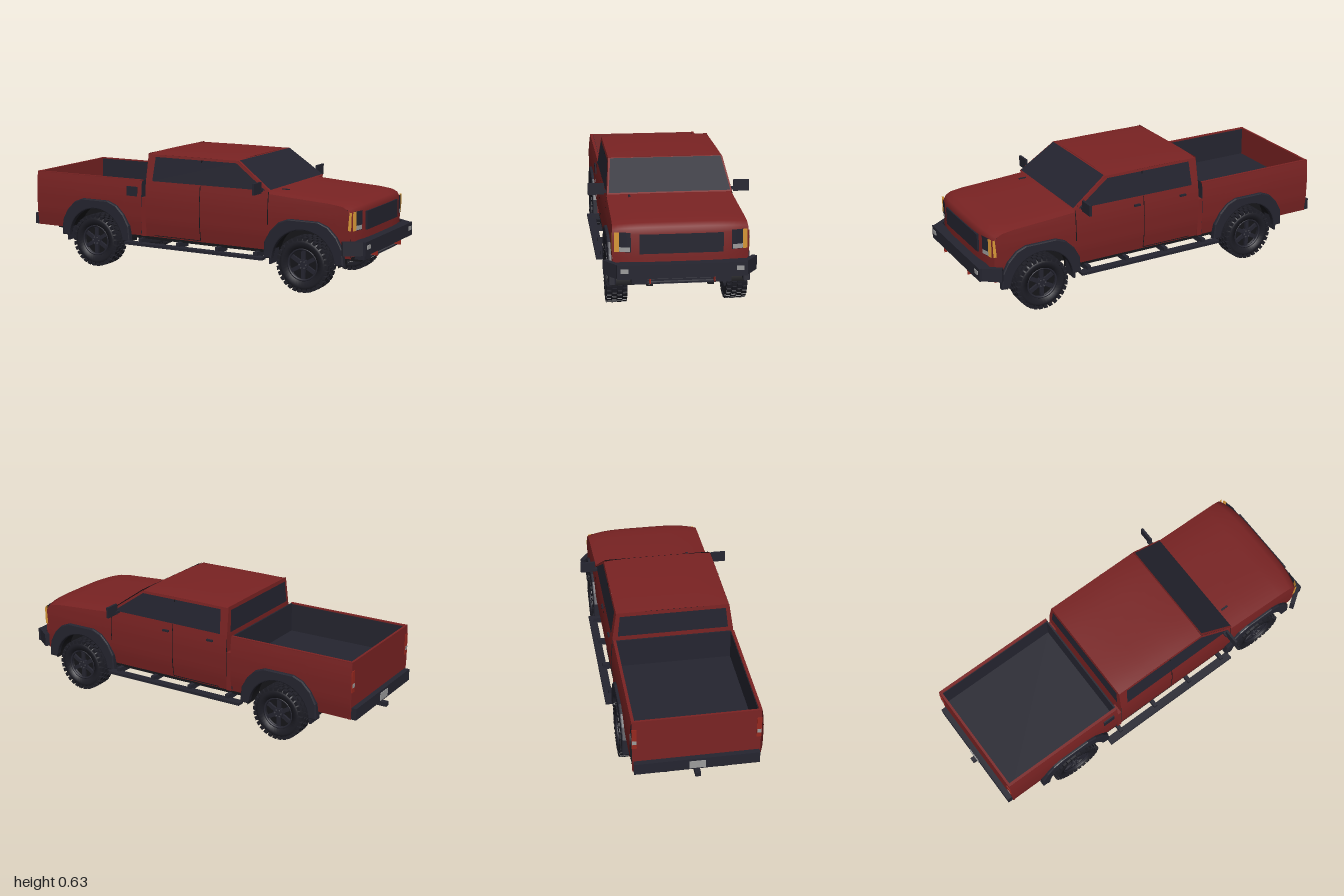
import * as THREE from 'three';
import { mergeGeometries } from 'three/addons/utils/BufferGeometryUtils.js';

const mat = (name, color) => {
  const m = new THREE.MeshStandardMaterial({ color, side: THREE.DoubleSide });
  m.name = name;
  return m;
};

export function createModel() {
  const red = mat('red paint', 0x7a2323), dark = mat('dark plastic', 0x252530), glass = mat('dark glass', 0x242430);
  const rubber = mat('rubber', 0x1e1e26), black = mat('underside black', 0x16161a), grey = mat('light grey', 0x9c9c9c);
  const amber = mat('amber lens', 0xdb9a38), lampRed = mat('lamp red', 0x98281f), steel = mat('dark steel', 0x44444c);
  const truck = new THREE.Group();
  truck.name = 'pickupTruck';

  const add = (name, geo, m, parent = truck) => {
    const mesh = new THREE.Mesh(geo, m);
    mesh.name = name;
    parent.add(mesh);
    return mesh;
  };
  // Box given by its limits on each axis
  const box = (name, m, [x0, x1], [y0, y1], [z0, z1], parent) => {
    const g = new THREE.BoxGeometry(x1 - x0, y1 - y0, Math.abs(z1 - z0));
    return add(name, g.translate((x0 + x1) / 2, (y0 + y1) / 2, (z0 + z1) / 2), m, parent);
  };
  // Surface from a rule (u, v) -> [x, y, z]
  const sheet = (name, m, nu, nv, rule) => {
    const g = new THREE.PlaneGeometry(1, 1, nu, nv), p = g.attributes.position;
    for (let i = 0; i < p.count; i++) p.setXYZ(i, ...rule(p.getX(i) + 0.5, p.getY(i) + 0.5));
    g.computeVertexNormals();
    return add(name, g, m);
  };
  const mix = THREE.MathUtils.lerp;
  // Four-cornered panel: bottom a-b, top d-c
  const quad = (name, m, a, b, c, d) => sheet(name, m, 1, 1, (u, v) =>
    a.map((_, i) => mix(mix(a[i], b[i], u), mix(d[i], c[i], u), v)));
  const rod = (name, m, a, b, r) => add(name, new THREE.TubeGeometry(
    new THREE.LineCurve3(new THREE.Vector3(...a), new THREE.Vector3(...b)), 1, r, 8), m);
  const interp = (pts, x) => {
    for (let i = 1; i < pts.length; i++) {
      const [a, b] = [pts[i - 1], pts[i]];
      if (x <= b[0]) return mix(a[1], b[1], Math.max(0, (x - a[0]) / (b[0] - a[0])));
    }
    return pts[pts.length - 1][1];
  };

  const axles = [-0.56, 0.665], wheelY = 0.14;
  const sides = [1, -1];
  // Half width of the body by height, and its lower edge with wheel arches
  const halfWidth = y => interp([[0.19, 0.308], [0.27, 0.32], [0.38, 0.322], [0.44, 0.318], [0.49, 0.311]], y);
  const lower = x => Math.max(0.19, ...axles.map(a => wheelY + Math.sqrt(Math.max(0, 0.185 ** 2 - (x - a) ** 2))));

  // Hood and nose: one profile swept across, rounded off at the corners
  const profile = [[0.44, 0.488], [0.6, 0.477], [0.8, 0.465], [0.89, 0.456], [0.925, 0.442], [0.94, 0.415], [0.941, 0.3], [0.942, 0.2]];
  const nose = ([x, y], s) => [
    x - 0.03 * s ** 4 * THREE.MathUtils.smoothstep(x, 0.8, 0.93), y - (y > 0.4 ? 0.013 * s ** 4 : 0)];
  sheet('hoodAndNose', red, 24, profile.length - 1, (u, v) => {
    const s = u * 2 - 1, [x, y] = nose(profile[Math.round(v * (profile.length - 1))], s);
    return [x, y, s * halfWidth(y)];
  });
  const hoodEdge = profile.slice(0, 6).map(p => nose(p, 1));

  for (const s of sides) {
    const panel = (name, x0, x1, top) => sheet(name, red, 70, 10, (u, v) => {
      const x = mix(x0, x1, u), y = mix(lower(x), top(x), v);
      return [x, y, s * halfWidth(y)];
    });
    panel('bedSide', -0.95, -0.275, () => 0.485);
    panel('cabSide', -0.25, 0.47, () => 0.487);
    panel('frontFender', 0.47, 0.911, x => interp(hoodEdge, x));
    box('bedRail', red, [-0.95, -0.275], [0.478, 0.486], [s * 0.297, s * 0.312]);
    box('bedLinerSide', dark, [-0.938, -0.28], [0.31, 0.48], [s * 0.294, s * 0.3]);
    box('gapFiller', red, [-0.277, -0.248], [0.19, 0.395], [s * 0.26, s * 0.315]);
    // Door seams
    for (const x of [0.075, 0.465]) sheet('doorSeam', black, 1, 8, (u, v) => {
      const y = mix(x < 0.1 ? 0.2 : 0.32, 0.482, v);
      return [x + u * 0.004, y, s * (halfWidth(y) + 0.001)];
    });
    box('sillSeam', black, [-0.2, 0.075], [0.196, 0.199], [s * 0.306, s * 0.3115]);
    // Cab upper side with its window
    quad('cabUpperSide', red, [-0.25, 0.485, s * 0.312], [0.475, 0.485, s * 0.312], [0.28, 0.622, s * 0.29], [-0.245, 0.622, s * 0.29]);
    const wz = y => s * (0.3145 - (y - 0.485) * 0.16);
    quad('sideWindow', glass, [-0.21, 0.485, wz(0.485)], [0.45, 0.488, wz(0.488)], [0.275, 0.61, wz(0.61)], [-0.2, 0.61, wz(0.61)]);
    box('windowDivider', black, [0.073, 0.079], [0.487, 0.61], [s * 0.292, s * 0.2965]);
    // Mirror
    box('mirrorArm', dark, [0.415, 0.435], [0.482, 0.495], [s * 0.3, s * 0.34]);
    box('mirror', dark, [0.422, 0.434], [0.475, 0.532], [s * 0.324, s * 0.404]);
    // Running board
    box('runningBoard', dark, [-0.355, 0.46], [0.146, 0.16], [s * 0.325, s * 0.368]);
    for (const x of [-0.28, -0.05, 0.18, 0.4]) box('boardBracket', dark, [x, x + 0.02], [0.15, 0.18], [s * 0.25, s * 0.345]);
    // Headlight pieces follow the curve of the nose
    const lens = (name, m, z0, z1, y0, y1, out) => sheet(name, m, 5, 1, (u, v) => {
      const z = mix(z0, z1, u);
      return [0.942 + out - 0.03 * (z / 0.32) ** 4, mix(y0, y1, v), s * z];
    });
    lens('headlight', glass, 0.236, 0.292, 0.328, 0.422, 0.003);
    lens('headlightReflector', grey, 0.24, 0.292, 0.33, 0.352, 0.005);
    lens('turnSignal', amber, 0.289, 0.312, 0.328, 0.422, 0.006);
    quad('sideSignal', amber, [0.899, 0.33, s * 0.323], [0.916, 0.33, s * 0.3225], [0.918, 0.42, s * 0.3215], [0.906, 0.42, s * 0.322]);
    // Front bumper ends, lamps and hooks
    const end = box('bumperEnd', dark, [-0.05, 0.05], [0.212, 0.28], [-0.012, 0.012]);
    end.position.set(0.925, 0, s * 0.325);
    end.rotation.y = s * 0.62;
    box('fogLight', grey, [0.984, 0.99], [0.242, 0.262], [s * 0.252, s * 0.288]);
    box('towHook', lampRed, [0.95, 0.985], [0.188, 0.215], [s * 0.148, s * 0.154]);
    // Tail lamp
    box('tailLamp', lampRed, [-0.954, -0.948], [0.33, 0.44], [s * 0.288, s * 0.312]);
    box('reverseLamp', grey, [-0.956, -0.95], [0.355, 0.375], [s * 0.29, s * 0.31]);
    // Chassis rail and front arms
    box('chassisRail', black, [-0.93, 0.9], [0.148, 0.175], [s * 0.13, s * 0.16]);
    rod('lowerArm', dark, [0.665, 0.15, s * 0.14], [0.665, 0.108, s * 0.25], 0.01);
    rod('upperArm', dark, [0.64, 0.165, s * 0.14], [0.665, 0.14, s * 0.26], 0.008);
    rod('damper', dark, [0.7, 0.12, s * 0.2], [0.7, 0.22, s * 0.19], 0.014);

    for (const a of axles) {
      // Flare with an arched opening
      const f = new THREE.Shape([[-0.21, 0.16], [-0.205, 0.235], [-0.175, 0.29], [-0.13, 0.335], [-0.08, 0.355],
        [0.08, 0.355], [0.13, 0.335], [0.175, 0.29], [0.205, 0.235], [0.212, 0.16]].map(p => new THREE.Vector2(...p)));
      f.lineTo(0.176, 0.16);
      f.absarc(0, wheelY, 0.177, 0.11, Math.PI - 0.11, false);
      const flare = add('fenderFlare', new THREE.ExtrudeGeometry(f, {
        depth: 0.022, bevelSize: 0.006, bevelThickness: 0.006, bevelSegments: 2, curveSegments: 24 }), dark);
      flare.position.set(a, 0, s > 0 ? 0.308 : -0.33);
      // Wheel well and mud flap
      const well = add('wheelWell', new THREE.CylinderGeometry(0.184, 0.184, 0.11, 24, 1, true, Math.PI / 2, Math.PI), black);
      well.rotation.x = Math.PI / 2;
      well.position.set(a, wheelY, s * 0.263);
      box('mudFlap', dark, [a - 0.185, a - 0.175], [0.125, 0.2], [s * 0.24, s * 0.33]);
    }
  }

  // Cab roof, windshield and back
  sheet('roof', red, 16, 6, (u, v) => {
    const z = u * 2 - 1, e = v * 2 - 1;
    return [mix(-0.245, 0.28, v), 0.632 - 0.009 * z ** 4 - 0.004 * e ** 4, z * 0.29];
  });
  quad('windshieldFrame', red, [0.475, 0.485, 0.312], [0.475, 0.485, -0.312], [0.28, 0.625, -0.29], [0.28, 0.625, 0.29]);
  quad('windshield', glass, [0.473, 0.492, 0.303], [0.473, 0.492, -0.303], [0.288, 0.624, -0.281], [0.288, 0.624, 0.281]);
  quad('cabBackUpper', red, [-0.25, 0.485, 0.312], [-0.25, 0.485, -0.312], [-0.245, 0.627, -0.29], [-0.245, 0.627, 0.29]);
  quad('cabBackLower', red, [-0.25, 0.19, 0.308], [-0.25, 0.19, -0.308], [-0.25, 0.486, -0.312], [-0.25, 0.486, 0.312]);
  quad('rearWindow', glass, [-0.254, 0.495, 0.285], [-0.254, 0.495, -0.285], [-0.249, 0.608, -0.272], [-0.249, 0.608, 0.272]);
  box('hoodAerial', dark, [0.49, 0.53], [0.483, 0.487], [0.2, 0.21]);
  for (const x of [-0.17, 0.1]) box('doorHandle', dark, [x, x + 0.035], [0.437, 0.447], [-0.327, -0.317]);
  box('fuelDoor', dark, [-0.365, -0.3], [0.398, 0.448], [0.316, 0.3235]);

  // Load bed
  box('bedFloor', dark, [-0.94, -0.278], [0.31, 0.33], [-0.298, 0.298]);
  box('bedFront', dark, [-0.283, -0.275], [0.2, 0.485], [-0.312, 0.312]);
  box('tailgate', red, [-0.95, -0.938], [0.19, 0.485], [-0.31, 0.31]);

  // Front face and bumpers
  box('grille', glass, [0.935, 0.946], [0.32, 0.412], [-0.196, 0.196]);
  box('frontBumper', dark, [0.93, 0.986], [0.212, 0.28], [-0.305, 0.305]);
  box('lowerValance', dark, [0.9, 0.95], [0.175, 0.215], [-0.235, 0.235]);
  for (const y of [0.185, 0.2]) box('valanceTrim', steel, [0.95, 0.956], [y, y + 0.004], [-0.16, 0.16]);
  quad('skidPlate', grey, [0.83, 0.137, 0.155], [0.83, 0.137, -0.155], [0.955, 0.176, -0.155], [0.955, 0.176, 0.155]);
  box('rearBumper', dark, [-0.977, -0.94], [0.19, 0.25], [-0.305, 0.305]);
  box('rearPlate', grey, [-0.981, -0.976], [0.198, 0.238], [-0.04, 0.04]);
  box('hitch', dark, [-1, -0.92], [0.16, 0.182], [-0.014, 0.014]);

  // Underside
  box('chassisCore', black, [-0.935, 0.9], [0.175, 0.29], [-0.21, 0.21]);
  box('cabFloor', black, [-0.36, 0.46], [0.175, 0.2], [-0.306, 0.306]);
  box('rearFloor', black, [-0.94, -0.76], [0.19, 0.2], [-0.306, 0.306]);
  for (const x of [-0.8, -0.3, 0, 0.3, 0.5]) box('crossMember', black, [x, x + 0.03], [0.155, 0.176], [-0.14, 0.14]);
  rod('rearAxle', dark, [-0.56, wheelY, -0.26], [-0.56, wheelY, 0.26], 0.016);
  const diff = add('differential', new THREE.SphereGeometry(0.04, 14, 10), dark);
  diff.position.set(-0.56, wheelY, 0);
  box('frontSubframe', dark, [0.6, 0.73], [0.135, 0.18], [-0.15, 0.15]);

  // Wheel parts, axis along z with the outer face towards +z
  const tyre = new THREE.LatheGeometry([[0.082, -0.043], [0.11, -0.049], [0.126, -0.044], [0.132, -0.03], [0.132, 0.03],
    [0.126, 0.044], [0.11, 0.049], [0.082, 0.043], [0.078, 0], [0.082, -0.043]].map(p => new THREE.Vector2(...p)), 40).rotateX(Math.PI / 2);
  const lugs = [];
  for (let i = 0; i < 30; i++) for (let j = 0; j < 4; j++) {
    const outer = j === 0 || j === 3;
    lugs.push(new THREE.BoxGeometry(0.019, outer ? 0.018 : 0.011, 0.021)
      .translate(0, outer ? 0.13 : 0.1345, (j - 1.5) * 0.0255).rotateZ((i + (j % 2) / 2) / 30 * Math.PI * 2));
  }
  const tread = mergeGeometries(lugs);
  const disc = (r, d, z) => new THREE.CylinderGeometry(r, r, d, 28).rotateX(Math.PI / 2).translate(0, 0, z);
  const spokes = mergeGeometries(Array.from({ length: 6 }, (_, i) =>
    new THREE.BoxGeometry(0.02, 0.06, 0.012).translate(0, 0.047, 0.03).rotateZ(i * Math.PI / 3)));
  const nuts = mergeGeometries(Array.from({ length: 6 }, (_, i) =>
    disc(0.0035, 0.008, 0.04).translate(0, 0.018, 0).rotateZ((i + 0.5) * Math.PI / 3)));
  for (const a of axles) for (const s of sides) {
    const wheel = new THREE.Group();
    wheel.name = 'wheel';
    wheel.position.set(a, wheelY, s * 0.289);
    if (s < 0) wheel.rotation.y = Math.PI;
    truck.add(wheel);
    add('tyre', tyre, rubber, wheel);
    add('tread', tread, rubber, wheel);
    add('rimRing', new THREE.TorusGeometry(0.078, 0.006, 8, 32).translate(0, 0, 0.038), dark, wheel);
    add('rimBack', disc(0.079, 0.01, 0.01), black, wheel);
    add('spokes', spokes, dark, wheel);
    add('hub', disc(0.026, 0.02, 0.03), dark, wheel);
    add('wheelNuts', nuts, steel, wheel);
    add('brakeDisc', disc(0.062, 0.008, -0.02), grey, wheel);
    add('brakeHub', disc(0.03, 0.04, -0.03), dark, wheel);
  }
  return truck;
}
